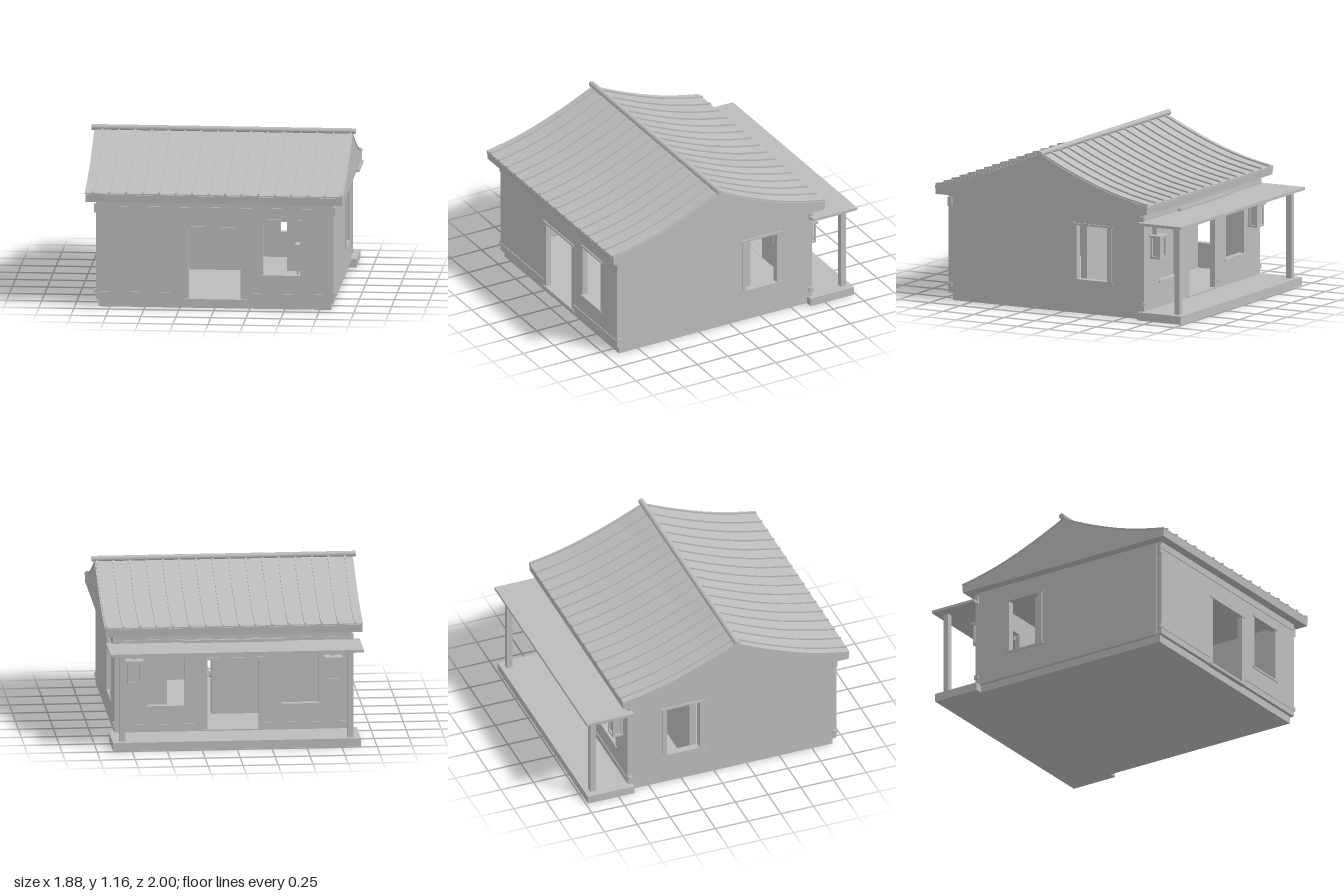
import * as THREE from 'three';

export function createModel() {
  const house = new THREE.Group();
  house.name = 'house';
  const plain = new THREE.MeshStandardMaterial({ color: 0xbcbcbc });
  plain.name = 'plain grey';

  const add = (geometry, name) => {
    const mesh = new THREE.Mesh(geometry, plain);
    mesh.name = name;
    house.add(mesh);
    return mesh;
  };
  // Box given by its limits on each axis
  const box = (name, x0, x1, y0, y1, z0, z1) =>
    add(new THREE.BoxGeometry(x1 - x0, y1 - y0, z1 - z0), name)
      .position.set((x0 + x1) / 2, (y0 + y1) / 2, (z0 + z1) / 2);
  // Upright panel with rectangular openings [u0, u1, y0, y1]
  const panel = (u0, u1, y0, y1, depth, openings) => {
    const rect = (s, a, b, c, d) => s.moveTo(a, c).lineTo(b, c).lineTo(b, d).lineTo(a, d).closePath();
    const shape = rect(new THREE.Shape(), u0, u1, y0, y1);
    for (const o of openings) shape.holes.push(rect(new THREE.Path(), ...o));
    return new THREE.ExtrudeGeometry(shape, { depth, bevelEnabled: false });
  };

  // Foundation, porch deck and floor
  box('foundation', -0.83, 0.83, 0, 0.06, -0.63, 0.905);
  box('porchDeck', -0.885, 0.885, 0, 0.06, -0.985, -0.63);
  box('floor', -0.81, 0.81, 0.055, 0.068, -0.63, 0.89);

  // Walls
  const bottom = 0.055, top = 0.785, thick = 0.04;
  const door = [-0.185, 0.185, 0.07, 0.58];
  const win = [0.345, 0.61, 0.25, 0.64];
  const mirroredWin = [-0.61, -0.345, 0.25, 0.64];
  add(panel(-0.845, 0.845, bottom, top, thick, [door, win]), 'frontWall').position.z = 0.89;
  add(panel(-0.845, 0.845, bottom, top, thick, [door, win, mirroredWin]), 'backWall').position.z = -0.665;
  for (const side of [-1, 1]) {
    const wall = add(panel(-0.89, 0.625, bottom, top, thick, [[0.09, 0.4, 0.25, 0.64]]), 'sideWall');
    wall.rotation.y = Math.PI / 2;
    wall.position.x = side > 0 ? 0.81 : -0.85;
  }
  // Inner partition with a doorway
  add(panel(-0.81, 0.81, 0.06, top, 0.05, [[0.115, 0.43, 0.068, 0.58]]), 'partition').position.z = -0.18;

  // Crossing beam ends and long rails on the outer walls
  for (const [y0, y1] of [[0.685, 0.75], [0.1, 0.13]]) {
    for (const s of [-1, 1]) {
      const zFace = s > 0 ? 0.93 : -0.665;
      for (const c of [-1, 1]) {
        box('beamEnd', c * 0.84 - 0.02, c * 0.84 + 0.02, y0, y1, zFace - s * 0.014 - 0.016, zFace - s * 0.014 + 0.016);
      }
      if (y0 > 0.5) box('topRail', -0.84, 0.84, 0.72, 0.735, zFace - 0.006, zFace + 0.006);
      else {
        box('lowRail', -0.84, -0.22, y0, y0 + 0.015, zFace - 0.005, zFace + 0.005);
        box('lowRail', 0.22, 0.84, y0, y0 + 0.015, zFace - 0.005, zFace + 0.005);
      }
    }
  }

  // Door sills and lintels, window sills and heads
  for (const [z, s] of [[0.93, 1], [-0.665, -1]]) {
    const z0 = Math.min(z - s * 0.03, z + s * 0.008), z1 = Math.max(z - s * 0.03, z + s * 0.008);
    box('doorSill', -0.22, 0.22, 0.05, 0.07, z0, z1);
    box('doorLintel', -0.22, 0.22, 0.58, 0.595, z0, z1);
    for (const c of s > 0 ? [1] : [1, -1]) {
      const x0 = c > 0 ? 0.325 : -0.63;
      box('windowSill', x0, x0 + 0.305, 0.235, 0.25, z0, z1);
      box('windowHead', x0, x0 + 0.305, 0.64, 0.655, z0, z1);
    }
  }
  for (const s of [-1, 1]) {
    const x0 = s > 0 ? 0.808 : -0.86, x1 = x0 + 0.052;
    box('sideWindowJamb', x0, x1, 0.25, 0.64, -0.12, -0.088);
    box('sideWindowJamb', x0, x1, 0.25, 0.64, -0.402, -0.37);
    box('sideWindowSill', x0, x1, 0.235, 0.25, -0.415, -0.075);
    box('sideWindowHead', x0, x1, 0.64, 0.655, -0.415, -0.075);
  }

  // Sweeping roof: half profile as [distance from ridge, height]
  const ridgeZ = 0.135;
  const curve = new THREE.SplineCurve([[0, 1.125], [0.13, 1.064], [0.27, 1.003], [0.47, 0.927], [0.67, 0.869], [0.865, 0.83]]
    .map(p => new THREE.Vector2(...p)));
  const half = curve.getPoints(10);
  const profile = [...half.slice(1).reverse().map(p => [-p.x, p.y]), ...half.map(p => [p.x, p.y])];
  const across = (outline, width, name, x = -width / 2) => {
    const shape = new THREE.Shape(outline.map(([d, y]) => new THREE.Vector2(-(ridgeZ + d), y)));
    const mesh = add(new THREE.ExtrudeGeometry(shape, { depth: width, bevelEnabled: false }), name);
    mesh.rotation.y = Math.PI / 2;
    mesh.position.x = x;
  };
  across([...profile, [0.86, 0.775], [-0.86, 0.775]], 1.836, 'roofBody');
  const raised = (lift, base = 0) => [...profile.map(([d, y]) => [d, y + lift]),
    ...profile.slice().reverse().map(([d, y]) => [d, y + base])];
  across(raised(0.01, 0.002), 1.846, 'roofSheet');
  // Standing ribs
  for (let i = 0; i < 16; i++) across(raised(0.022), 0.014, 'roofRib', -0.872 + i * 0.1182);
  // Ridge pole
  const ridge = add(new THREE.CylinderGeometry(0.021, 0.021, 1.885, 10), 'ridgePole');
  ridge.rotation.z = Math.PI / 2;
  ridge.position.set(0, 1.145, ridgeZ);

  // Porch roof, ledger and posts
  box('porchRoof', -0.905, 0.905, 0.69, 0.71, -1, -0.64);
  box('ledger', -0.36, 0.36, 0.605, 0.73, -0.69, -0.66);
  for (const s of [-1, 1]) {
    box('porchPost', s * 0.815 - 0.021, s * 0.815 + 0.021, 0.06, 0.69, -0.948, -0.906);
    // Wall lantern: cap, base, corner bars, core and hanger
    const x = s * 0.71;
    box('lanternCap', x - 0.065, x + 0.065, 0.585, 0.6, -0.755, -0.665);
    box('lanternBase', x - 0.05, x + 0.05, 0.43, 0.445, -0.745, -0.665);
    box('lanternCore', x - 0.035, x + 0.035, 0.445, 0.585, -0.73, -0.67);
    for (const c of [-1, 1]) for (const z of [-0.738, -0.675]) {
      box('lanternBar', x + c * 0.043 - 0.007, x + c * 0.043 + 0.007, 0.445, 0.585, z - 0.007, z + 0.007);
    }
    box('lanternHanger', x - 0.012, x + 0.012, 0.6, 0.69, -0.695, -0.665);
  }

  // Chair in the front room
  box('chairSeat', 0.525, 0.63, 0.325, 0.35, 0.22, 0.33);
  box('chairBack', 0.59, 0.61, 0.35, 0.44, 0.22, 0.33);
  for (const x of [0.535, 0.61]) for (const z of [0.225, 0.313]) {
    box('chairLeg', x, x + 0.012, 0.068, 0.325, z, z + 0.012);
  }
  return house;
}
